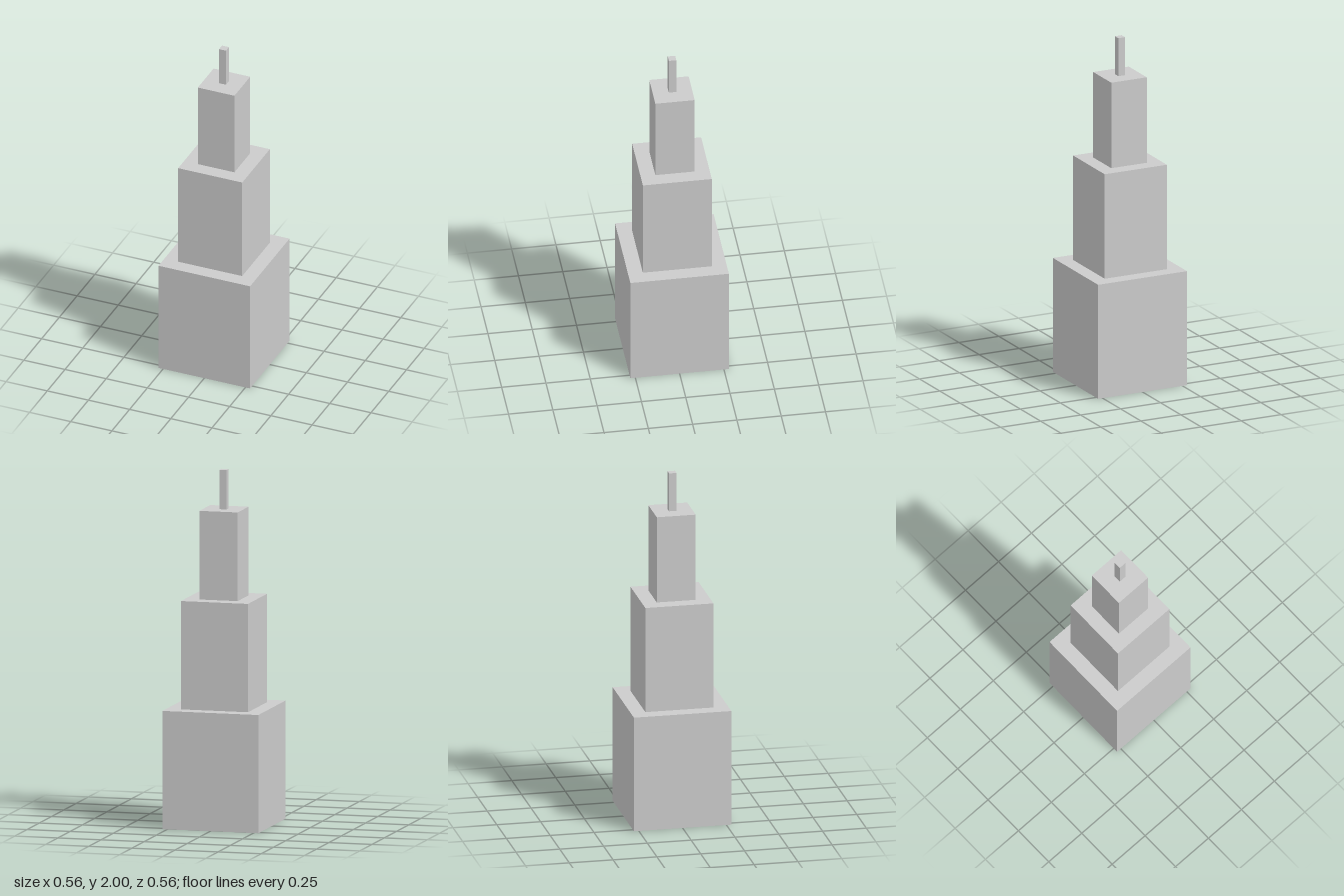
import * as THREE from 'three';

// Stepped tower: square tiers stacked from the ground up, topped by a thin mast
const TIERS = [
  { name: 'baseTier', width: 0.556, bottom: 0, top: 0.667 },
  { name: 'middleTier', width: 0.389, bottom: 0.667, top: 1.278 },
  { name: 'upperTier', width: 0.222, bottom: 1.278, top: 1.778 },
  { name: 'mast', width: 0.042, bottom: 1.778, top: 2 },
];

export function createModel() {
  const model = new THREE.Group();
  model.name = 'steppedTower';
  const material = new THREE.MeshStandardMaterial({ color: 0xcccccc });

  for (const { name, width, bottom, top } of TIERS) {
    const tier = new THREE.Mesh(new THREE.BoxGeometry(width, top - bottom, width), material);
    tier.name = name;
    tier.position.y = (bottom + top) / 2;
    model.add(tier);
  }
  return model;
}
